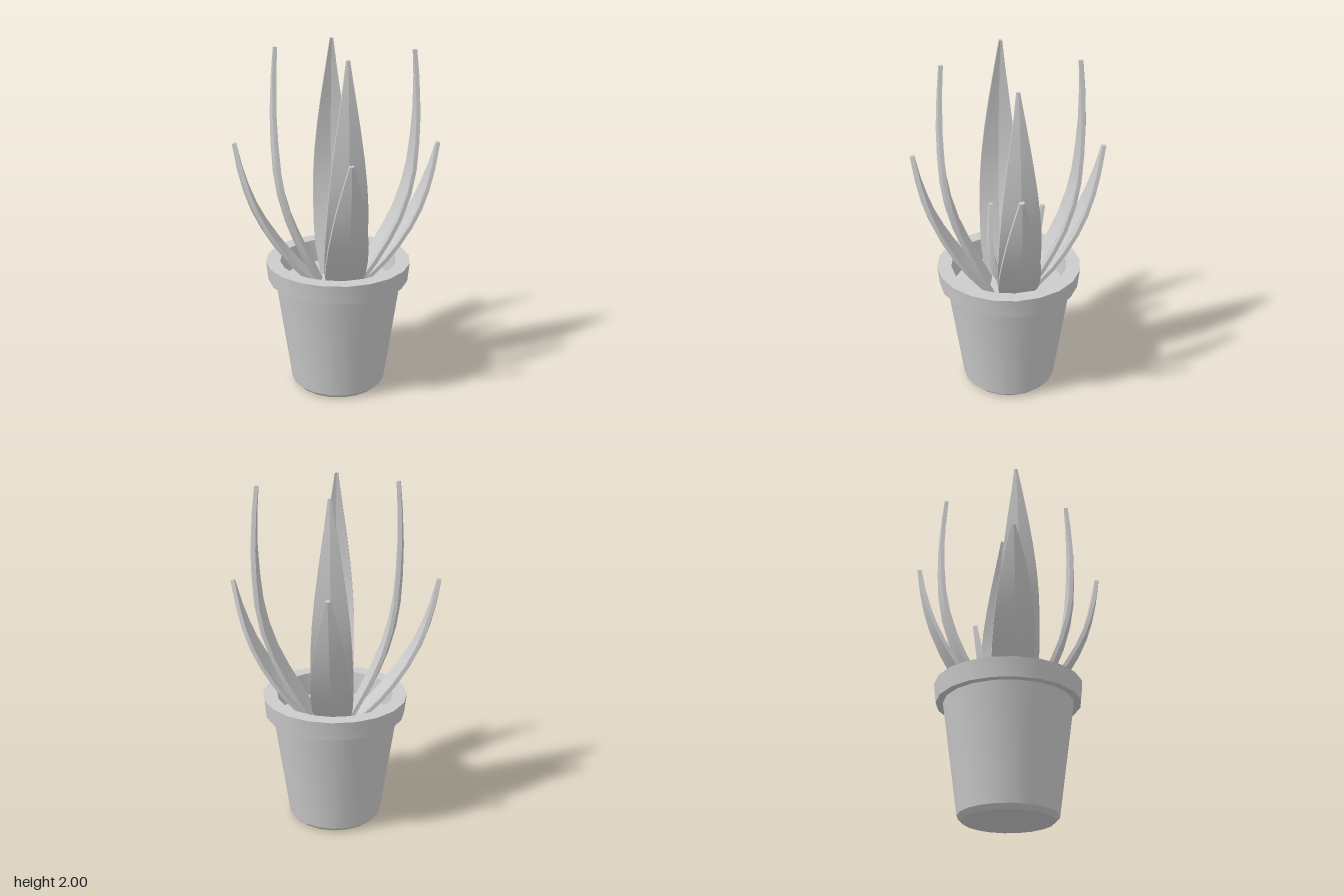
import * as THREE from 'three';
import { toCreasedNormals } from 'three/addons/utils/BufferGeometryUtils.js';

const material = new THREE.MeshStandardMaterial({ color: 0xcccccc });

// Leaf spines as [outward distance, height, half width]
const TALL = [
  [0.10, 0.62, 0.09], [0.175, 0.77, 0.113], [0.235, 0.90, 0.117], [0.285, 1.03, 0.115], [0.325, 1.18, 0.11],
  [0.347, 1.32, 0.1], [0.357, 1.48, 0.083], [0.36, 1.65, 0.06], [0.352, 1.85, 0.03], [0.34, 2.0, 0.009],
];
const LOW = [
  [0.14, 0.62, 0.09], [0.275, 0.77, 0.113], [0.35, 0.87, 0.114], [0.42, 0.98, 0.108],
  [0.475, 1.09, 0.095], [0.515, 1.2, 0.077], [0.547, 1.32, 0.05], [0.575, 1.47, 0.012],
];
const SMALL_BACK = [
  [0.03, 0.6, 0.06], [0.10, 0.72, 0.08], [0.145, 0.84, 0.078], [0.168, 0.97, 0.055], [0.193, 1.145, 0.012],
];
const SMALL_FRONT = [
  [0.01, 0.6, 0.06], [0.075, 0.7, 0.08], [0.105, 0.82, 0.078], [0.113, 0.96, 0.055], [0.103, 1.16, 0.012],
];

// Folded leaf: a six-point section swept along the spine, growing towards +z
function leafGeometry(spine, spread, tipY, side, tipSide) {
  const last = spine.length - 1;
  const baseY = spine[0][1];
  const lift = (tipY - baseY) / (spine[last][1] - baseY);
  const centres = spine.map(([d, y], i) => new THREE.Vector3(
    THREE.MathUtils.lerp(side, tipSide, (i / last) ** 2), baseY + (y - baseY) * lift, d * spread));
  const rings = centres.map((c, i) => {
    const a = centres[Math.max(i - 1, 0)], b = centres[Math.min(i + 1, last)];
    const out = new THREE.Vector3(0, a.z - b.z, b.y - a.y).normalize();
    const w = spine[i][2], fold = 0.1 * w, half = 0.011;
    const point = (x, n) => c.clone().addScaledVector(out, n).add(new THREE.Vector3(x, 0, 0));
    return [
      point(-w, half - fold), point(0, half + fold), point(w, half - fold),
      point(w, -half - fold), point(0, -half + fold), point(-w, -half - fold),
    ];
  });
  const positions = [], indices = [];
  const push = (p) => positions.push(p.x, p.y, p.z) / 3 - 1;
  // one strip per side of the section keeps the long edges sharp
  for (let k = 0; k < 6; k++) {
    rings.forEach((ring, i) => {
      const a = push(ring[k]);
      push(ring[(k + 1) % 6]);
      if (i < last) indices.push(a, a + 1, a + 3, a, a + 3, a + 2);
    });
  }
  // end caps
  for (const [ring, flip] of [[rings[0], true], [rings[last], false]]) {
    const s = ring.map(push);
    for (const [a, b, c] of [[0, 1, 4], [0, 4, 5], [1, 2, 3], [1, 3, 4]]) {
      indices.push(s[a], s[flip ? c : b], s[flip ? b : c]);
    }
  }
  const geometry = new THREE.BufferGeometry();
  geometry.setAttribute('position', new THREE.Float32BufferAttribute(positions, 3));
  geometry.setIndex(indices);
  geometry.computeVertexNormals();
  return geometry;
}

export function createModel() {
  const model = new THREE.Group();
  model.name = 'pottedPlant';

  const add = (name, geometry) => {
    const mesh = new THREE.Mesh(geometry, material);
    mesh.name = name;
    model.add(mesh);
    return mesh;
  };

  // Pot with chamfered foot, overhanging rim and hollow top
  const profile = [
    [0, 0], [0.25, 0], [0.275, 0.025], [0.365, 0.66], [0.405, 0.66],
    [0.417, 0.77], [0.335, 0.77], [0.32, 0.62],
  ].map(([r, y]) => new THREE.Vector2(r, y));
  add('pot', toCreasedNormals(new THREE.LatheGeometry(profile, 20), 0.5));

  // Soil
  const soil = add('soil', new THREE.CircleGeometry(0.325, 20));
  soil.rotation.x = -Math.PI / 2;
  soil.position.y = 0.635;

  // Leaves: name, spine, turn in quarter circles, spread, tip height, base and tip sideways shift
  const leaves = [
    ['tallLeafFront', TALL, 0, 1.05, 1.98, 0.012, 0.005],
    ['tallLeafLeft', TALL, 1, 1.24, 1.97, 0.025, 0.0],
    ['tallLeafBack', TALL, 2, 1.12, 1.985, -0.003, -0.01],
    ['tallLeafRight', TALL, 3, 1, 2.0, 0.032, 0.01],
    ['lowLeafFront', LOW, 0, 0.92, 1.475, 0.01, 0.003],
    ['lowLeafLeft', LOW, 1, 0.99, 1.445, 0.025, 0.005],
    ['lowLeafBack', LOW, 2, 0.915, 1.495, -0.005, -0.015],
    ['lowLeafRight', LOW, 3, 1, 1.47, -0.005, -0.028],
    ['smallLeafFront', SMALL_FRONT, 0, 1, 1.16, 0.003, -0.005],
    ['smallLeafBack', SMALL_BACK, 2, 1, 1.145, -0.01, -0.015],
  ];
  for (const [name, spine, turn, ...shape] of leaves) {
    add(name, leafGeometry(spine, ...shape)).rotation.y = turn * Math.PI / 2;
  }
  return model;
}
